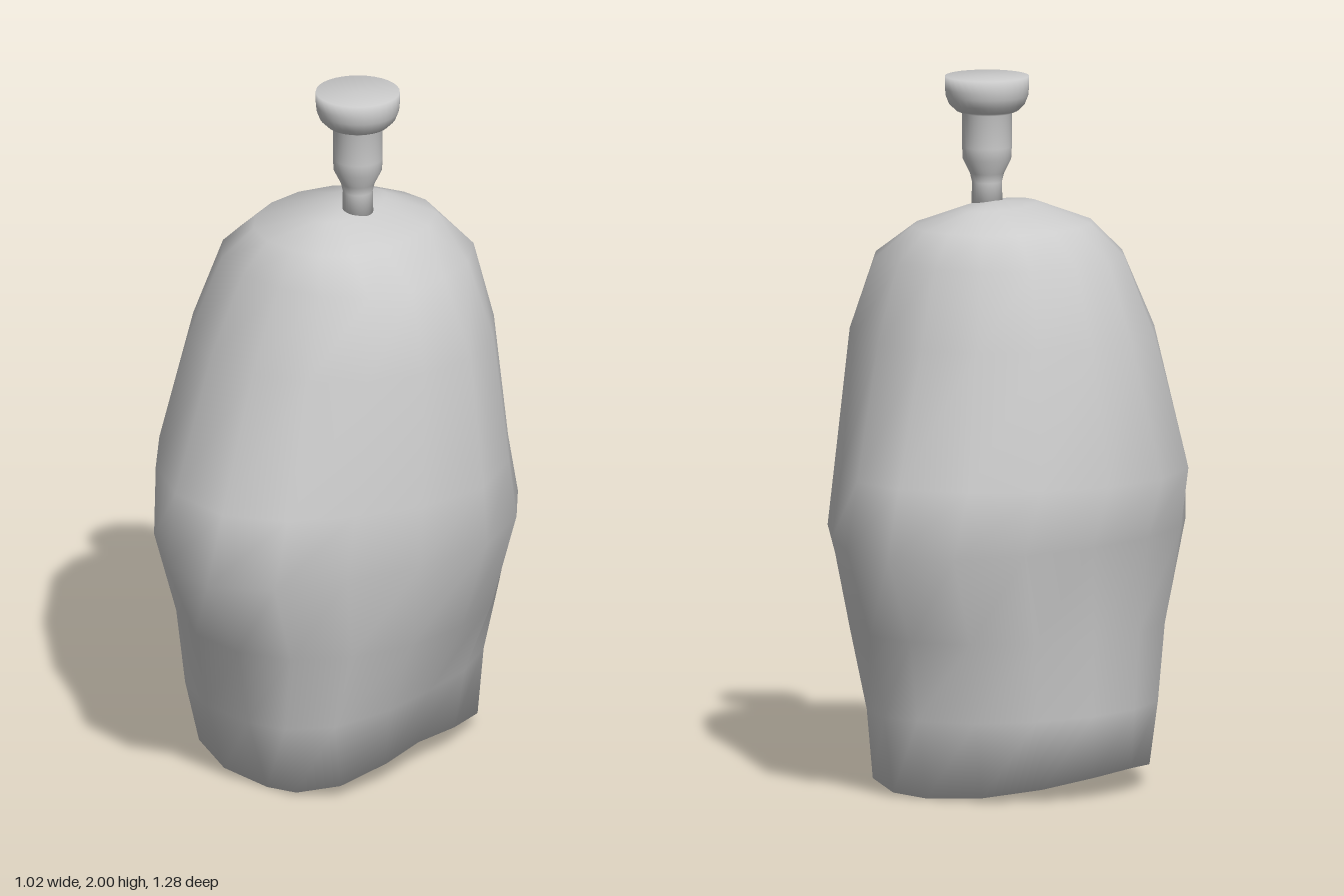
import * as THREE from 'three';

const SIDES = 16;
const CX = 0.02, CZ = -0.03; // centre line of the body

// Body rings: height, +x, +z, -x, -z extents, lift of the x sides,
// then corner fullness on the +x and -x halves (negative = diamond, positive = squarish)
const RINGS = [
  [0.03, 0.15, 0.17, -0.2, -0.22, 0.03, 0.15, 0],
  [0.005, 0.27, 0.35, -0.41, -0.43, 0.068, 0.2, 0.02],
  [0.23, 0.31, 0.44, -0.42, -0.48, 0.01, 0.1, 0.01],
  [0.46, 0.42, 0.49, -0.435, -0.52, 0, 0, 0],
  [0.71, 0.507, 0.64, -0.465, -0.64, 0.02, -0.09, -0.03],
  [0.9, 0.495, 0.565, -0.51, -0.583, 0, -0.09, -0.03],
  [1.28, 0.45, 0.42, -0.41, -0.46, 0, -0.02, 0.02],
  [1.5, 0.36, 0.295, -0.335, -0.385, 0, 0.05, 0.03],
  [1.59, 0.235, 0.225, -0.235, -0.31, 0, 0.07, 0.03],
  [1.64, 0.1, 0.11, -0.07, -0.19, 0, 0, 0],
];

function bodyGeometry() {
  const pos = [], idx = [];
  for (const [y, px, pz, nx, nz, lift, fullP, fullN] of RINGS) {
    for (let j = 0; j < SIDES; j++) {
      const a = (j / SIDES) * Math.PI * 2;
      const c = Math.cos(a), s = Math.sin(a);
      const rx = c > 0 ? px - CX : CX - nx;
      const rz = s > 0 ? pz - CZ : CZ - nz;
      const f = 1 + (c > 0 ? fullP : fullN) * Math.sin(2 * a) ** 2;
      pos.push(CX + c * rx * f, y + lift * c * c, CZ + s * rz * f);
    }
  }
  const bottom = pos.length / 3;
  const top = bottom + 1;
  pos.push(0, 0.045, CZ, CX, 1.652, -0.05);
  const last = (RINGS.length - 1) * SIDES;
  for (let j = 0; j < SIDES; j++) {
    const k = (j + 1) % SIDES;
    for (let i = 0; i < RINGS.length - 1; i++) {
      const a = i * SIDES + j, b = i * SIDES + k;
      idx.push(a, a + SIDES, b, b, a + SIDES, b + SIDES);
    }
    idx.push(bottom, j, k); // saddle-shaped underside
    idx.push(top, last + k, last + j); // crown
  }
  const g = new THREE.BufferGeometry();
  g.setAttribute('position', new THREE.Float32BufferAttribute(pos, 3));
  g.setIndex(idx);
  g.computeVertexNormals();
  return g;
}

export function createModel() {
  const group = new THREE.Group();
  const material = new THREE.MeshStandardMaterial({ color: 0xcccccc });

  // Lumpy rounded body
  const body = new THREE.Mesh(bodyGeometry(), material);
  body.name = 'body';
  group.add(body);

  // Turned stem with a flat-topped cup head
  const profile = [
    [0, 1.63], [0.044, 1.63], [0.042, 1.7], [0.048, 1.725], [0.068, 1.765],
    [0.07, 1.8], [0.07, 1.895], [0.088, 1.903], [0.107, 1.922], [0.116, 1.945],
    [0.118, 1.965], [0.118, 2], [0, 2],
  ].map(([r, y]) => new THREE.Vector2(r, y));
  const stem = new THREE.Mesh(new THREE.LatheGeometry(profile, 32), material);
  stem.name = 'stem';
  stem.position.set(0.065, 0, -0.025);
  group.add(stem);

  return group;
}
